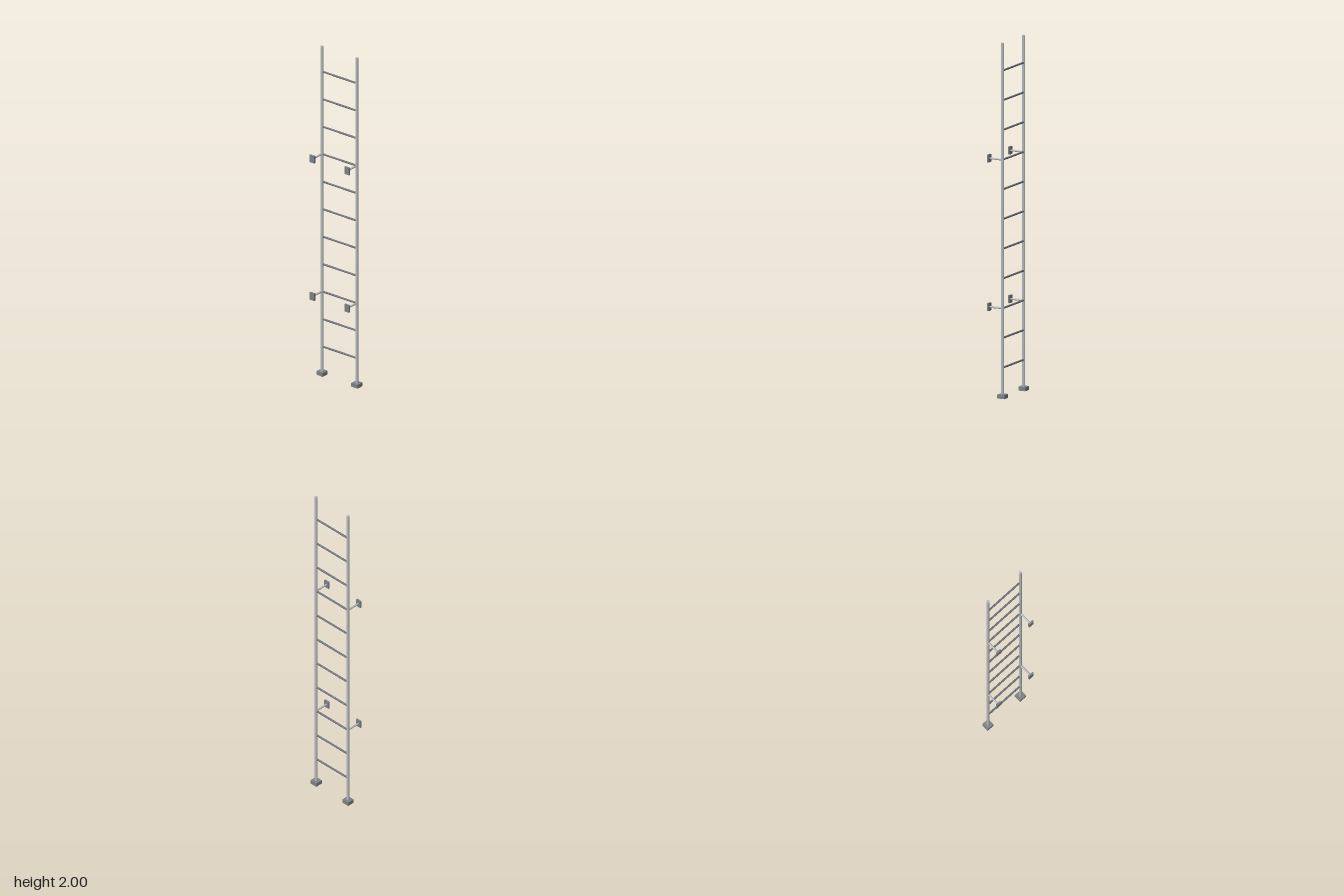
import * as THREE from 'three';

const RAIL_X = 0.123, RAIL_Z = -0.035, FIRST_RUNG = 0.172, RUNG_STEP = 0.1673;

export function createModel() {
  const group = new THREE.Group();
  const railMat = new THREE.MeshStandardMaterial({ color: 0xb4b8ba });
  const rungMat = new THREE.MeshStandardMaterial({ color: 0x6c7175 });
  const plateMat = new THREE.MeshStandardMaterial({ color: 0x7c8184 });

  function add(name, geometry, material, x, y, z) {
    const mesh = new THREE.Mesh(geometry, material);
    mesh.name = name;
    mesh.position.set(x, y, z);
    group.add(mesh);
    return mesh;
  }

  // Shared part shapes
  const railGeo = new THREE.CylinderGeometry(0.0085, 0.0085, 1.98, 20);
  const footGeo = new THREE.BoxGeometry(0.045, 0.022, 0.044);
  const armGeo = new THREE.CylinderGeometry(0.0055, 0.0055, 0.08, 16).rotateX(Math.PI / 2);
  const wallPlateGeo = new THREE.BoxGeometry(0.033, 0.044, 0.01);
  const rungGeo = new THREE.CylinderGeometry(0.0055, 0.0055, RAIL_X * 2, 16).rotateZ(Math.PI / 2);

  // Side rails with feet and two wall brackets each
  for (const [side, s] of [['left', 1], ['right', -1]]) {
    const x = s * RAIL_X;
    add(side + 'Rail', railGeo, railMat, x, 1.01, RAIL_Z);
    add(side + 'Foot', footGeo, plateMat, x, 0.011, RAIL_Z);
    for (const [level, rung] of [['Lower', 2], ['Upper', 7]]) {
      const y = FIRST_RUNG + rung * RUNG_STEP;
      add(side + level + 'BracketArm', armGeo, railMat, x, y, 0.006);
      add(side + level + 'WallPlate', wallPlateGeo, plateMat, x, y, 0.05);
    }
  }

  // Rungs
  for (let i = 0; i < 11; i++) {
    add('rung' + (i + 1), rungGeo, rungMat, 0, FIRST_RUNG + i * RUNG_STEP, RAIL_Z);
  }
  return group;
}
